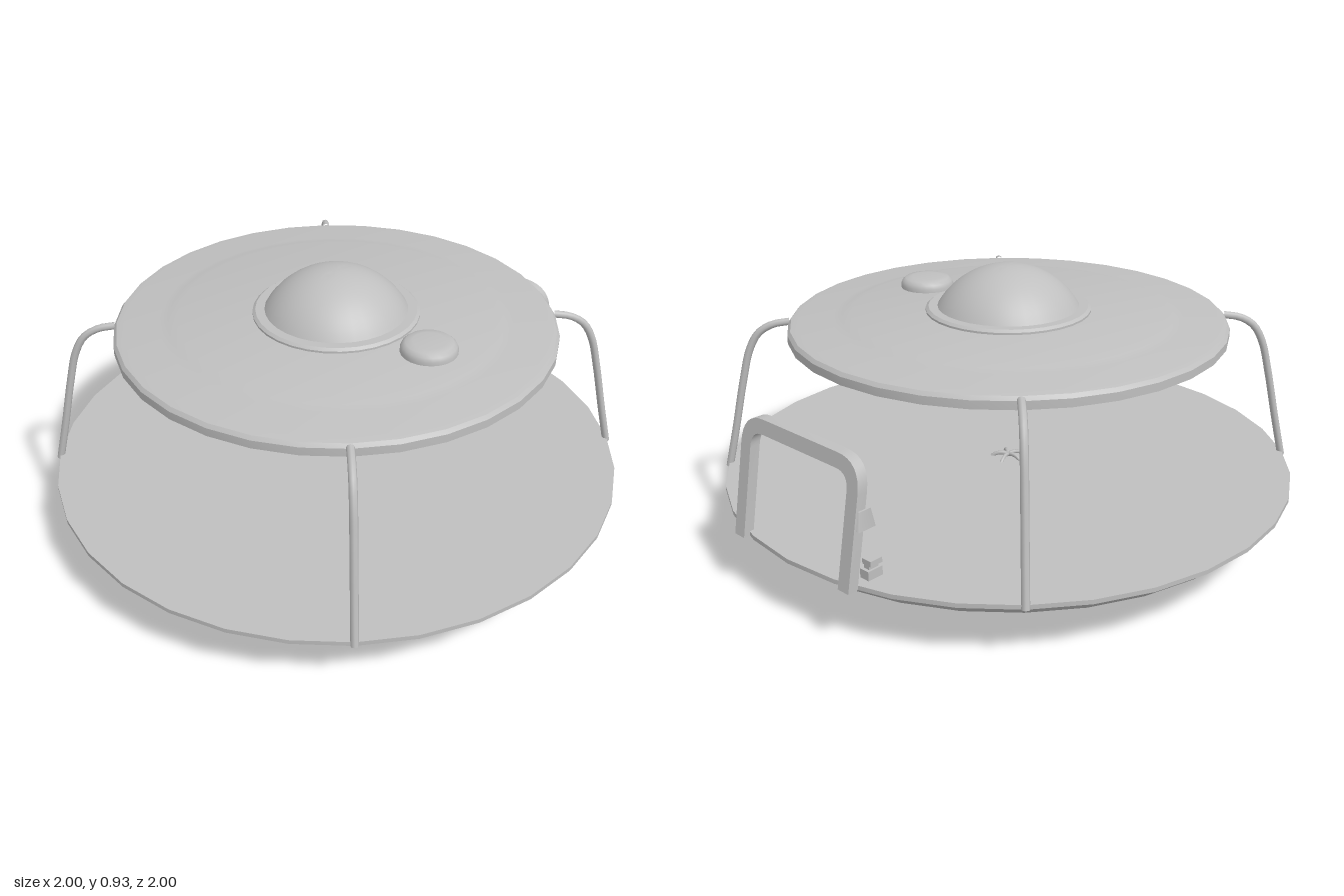
import * as THREE from 'three';
import { toCreasedNormals } from 'three/addons/utils/BufferGeometryUtils.js';

const grey = new THREE.MeshStandardMaterial({ color: 0xbfbfbf });
grey.name = 'light grey';

export function createModel() {
  const model = new THREE.Group();
  model.name = 'saucer';

  const add = (name, geometry, parent = model) => {
    const mesh = new THREE.Mesh(geometry, grey);
    mesh.name = name;
    parent.add(mesh);
    return mesh;
  };
  // Turned part from [radius, height] pairs, listed from the underside to the top
  const turned = (name, profile, segments = 32, crease = 0.6) => {
    const points = profile.map(([r, y]) => new THREE.Vector2(r, y));
    return add(name, toCreasedNormals(new THREE.LatheGeometry(points, segments), crease));
  };

  // Lower saucer with a stepped recess underneath
  turned('lowerSaucer', [
    [0, 0.19], [0.26, 0.19], [0.26, 0.15], [0.355, 0.15], [0.355, 0.07],
    [0.5, 0.07], [0.54, 0.078], [0.57, 0.095], [0.585, 0.125],
    [0.87, 0.125], [0.91, 0.133], [0.945, 0.155], [0.97, 0.178],
    [1, 0.2], [1, 0.215], [0, 0.215],
  ]);

  // Hollow threaded socket
  const socket = [[0, 0.13], [0.105, 0.13], [0.115, 0.038], [0.13, 0.036]];
  for (let i = 0; i < 4; i++) {
    const y = 0.045 + i * 0.035;
    socket.push([0.138, y], [0.138, y + 0.012], [0.122, y + 0.018], [0.122, y + 0.028]);
  }
  socket.push([0.122, 0.195]);
  turned('threadedSocket', socket);

  // Contact prongs in the socket
  for (let i = 0; i < 4; i++) {
    const prong = new THREE.Group();
    prong.name = 'prong';
    prong.rotation.y = i * Math.PI / 2 + Math.PI / 4;
    const bar = add('prongBar', new THREE.BoxGeometry(0.012, 0.14, 0.018), prong);
    bar.position.set(0.026, 0.071, 0);
    bar.rotation.z = 0.1;
    model.add(prong);
  }

  // Small star of arched blades on the saucer floor
  for (let i = 0; i < 5; i++) {
    const arch = new THREE.QuadraticBezierCurve3(
      new THREE.Vector3(0, 0.222, 0), new THREE.Vector3(0.035, 0.235, 0), new THREE.Vector3(0.06, 0.212, 0));
    const blade = add('starBlade', new THREE.TubeGeometry(arch, 6, 0.007, 6));
    blade.rotation.y = i * Math.PI * 2 / 5 + 0.3;
  }

  // Upper disc, hollow under the dome
  turned('upperDisc', [
    [0, 0.78], [0.25, 0.77], [0.27, 0.71], [0.755, 0.71], [0.755, 0.738], [0.745, 0.75],
    [0.72, 0.755], [0.6, 0.762], [0.57, 0.767], [0.54, 0.775], [0, 0.775],
  ], 32, 0.4);

  // Dome with its seat ring
  turned('domeRing', [[0.285, 0.77], [0.285, 0.782], [0.275, 0.79], [0.24, 0.79]]);
  const dome = [];
  const domeRadius = 0.283;
  for (let i = 0; i <= 12; i++) {
    const a = 1.08 * (1 - i / 12);
    dome.push([domeRadius * Math.sin(a), 0.647 + domeRadius * Math.cos(a)]);
  }
  turned('dome', dome);

  // Ball hanging under the dome
  add('lowerBall', new THREE.SphereGeometry(0.11, 32, 20)).position.y = 0.735;

  // Round cap in front of the dome
  const cap = turned('roofCap', [
    [0.095, 0.77], [0.095, 0.787], [0.09, 0.8], [0.078, 0.81], [0.055, 0.813], [0, 0.813]], 24);
  cap.position.z = 0.4;

  // Four bent struts joining the two discs
  const strutPath = new THREE.CatmullRomCurve3(
    [[1, 0.2], [0.965, 0.35], [0.925, 0.53], [0.895, 0.64], [0.86, 0.7], [0.81, 0.73], [0.75, 0.74]]
      .map(([r, y]) => new THREE.Vector3(r, y, 0)));
  for (let i = 0; i < 4; i++) {
    const strut = add('strut', new THREE.TubeGeometry(strutPath, 28, 0.013, 8));
    strut.rotation.y = Math.PI / 4 + i * Math.PI / 2;
  }

  // Door frame on the left side, leaning inward
  const arch = (half, top, r, Kind) => {
    const s = new Kind();
    s.moveTo(-half, 0.2);
    s.lineTo(-half, top - r);
    s.quadraticCurveTo(-half, top, -half + r, top);
    s.lineTo(half - r, top);
    s.quadraticCurveTo(half, top, half, top - r);
    s.lineTo(half, 0.2);
    return s;
  };
  const frameShape = arch(0.275, 0.6, 0.1, THREE.Shape);
  const inner = arch(0.228, 0.553, 0.055, THREE.Path).getPoints(8).reverse();
  inner.forEach((p) => frameShape.lineTo(p.x, p.y));
  const frame = new THREE.ExtrudeGeometry(frameShape, { depth: 0.036, bevelEnabled: false, curveSegments: 8 });
  frame.rotateY(Math.PI / 2);
  const pos = frame.attributes.position;
  for (let i = 0; i < pos.count; i++) {
    pos.setX(i, pos.getX(i) + 0.958 - 0.18 * (pos.getY(i) - 0.2));
  }
  add('doorFrame', toCreasedNormals(frame, 0.5));

  // Latches beside the door frame
  const box = (name, x, y, z, w, h, d) =>
    add(name, new THREE.BoxGeometry(w, h, d)).position.set(x, y, z);
  const latch = add('upperLatch', new THREE.CylinderGeometry(0.019, 0.028, 0.06, 4, 1, false, Math.PI / 4));
  latch.position.set(0.92, 0.42, -0.268);
  latch.scale.x = 1.6;
  box('lowerLatch', 0.93, 0.265, -0.308, 0.055, 0.03, 0.036);
  box('lowerLatchNeck', 0.93, 0.285, -0.308, 0.035, 0.016, 0.022);
  box('lowerLatchTop', 0.925, 0.3, -0.308, 0.045, 0.018, 0.036);

  return model;
}
